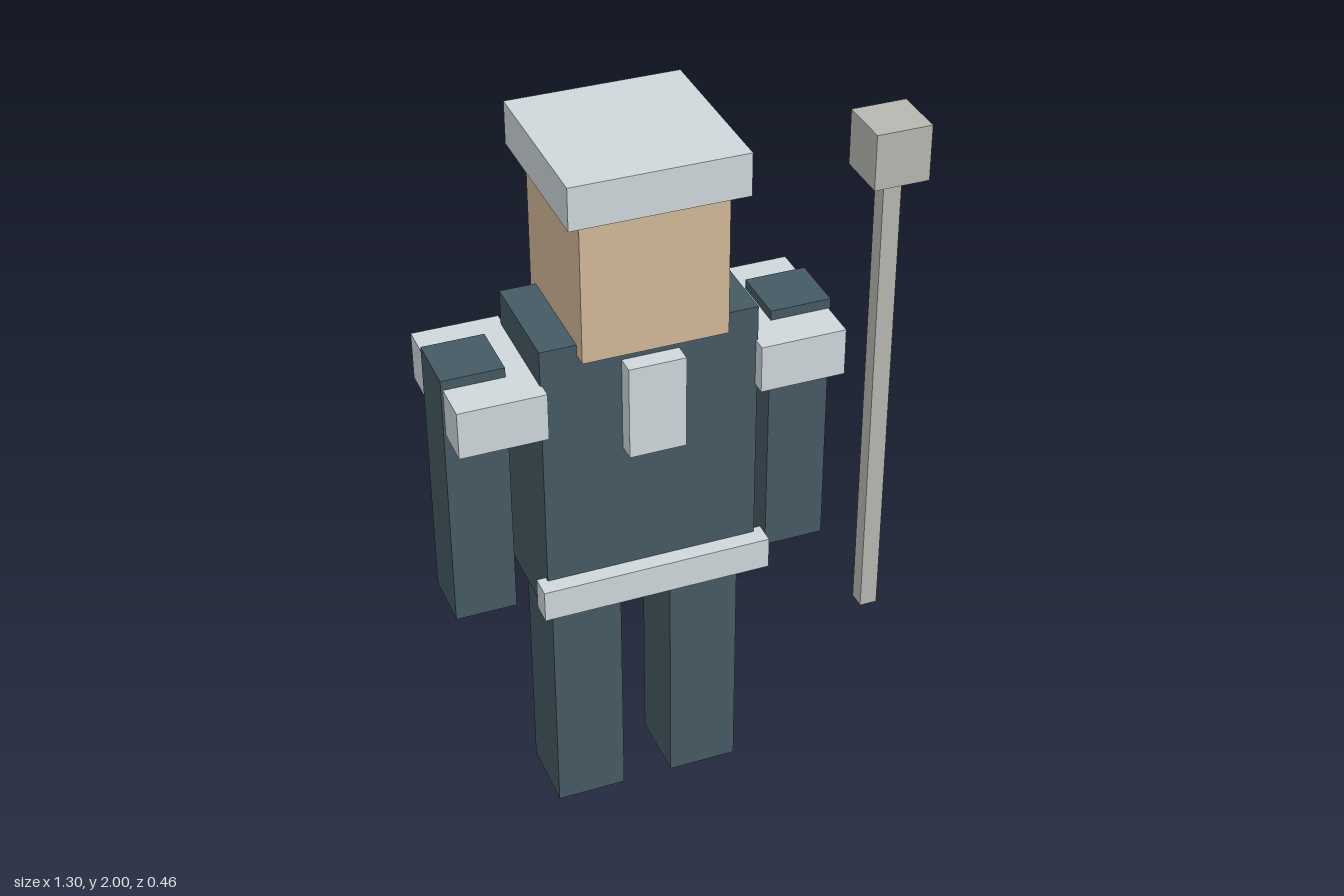
import * as THREE from 'three';

const material = (color) => new THREE.MeshStandardMaterial({ color, flatShading: true });

export function createModel() {
  const model = new THREE.Group();
  const cloth = material(0x455a64);
  const trim = material(0xcfd8dc);
  const skin = material(0xd2b899);
  const stone = material(0xb8b8b2);

  // Box of size [w, h, d] centred on x and z, with its underside at y
  function box(parent, name, mat, [w, h, d], x, y, z = 0) {
    const mesh = new THREE.Mesh(new THREE.BoxGeometry(w, h, d), mat);
    mesh.name = name;
    mesh.position.set(x, y + h / 2, z);
    parent.add(mesh);
  }

  // Body, built about its own middle and set beside the staff
  const figure = new THREE.Group();
  figure.name = 'figure';
  figure.position.x = -0.133;
  model.add(figure);

  box(figure, 'torso', cloth, [0.575, 0.825, 0.306], 0, 0.695);
  box(figure, 'head', skin, [0.383, 0.4, 0.387], 0, 1.49);
  box(figure, 'hat', trim, [0.46, 0.115, 0.462], 0, 1.885);
  box(figure, 'chestPlate', trim, [0.152, 0.262, 0.062], 0, 1.188, 0.172);
  box(figure, 'belt', trim, [0.625, 0.09, 0.062], 0, 0.73, 0.168);

  // Paired limbs and shoulder pads
  for (const [side, s] of [['left', 1], ['right', -1]]) {
    box(figure, side + 'Leg', cloth, [0.192, 0.695, 0.204], s * 0.166, 0);
    box(figure, side + 'Arm', cloth, [0.165, 0.742, 0.165], s * 0.435, 0.708);
    box(figure, side + 'ShoulderPad', trim, [0.23, 0.132, 0.385], s * 0.397, 1.291);
  }

  // Staff standing off the left hand
  const staff = new THREE.Group();
  staff.name = 'staff';
  staff.position.x = 0.572;
  model.add(staff);
  box(staff, 'staffShaft', stone, [0.05, 1.38, 0.05], 0, 0.355);
  box(staff, 'staffHead', stone, [0.152, 0.155, 0.152], 0, 1.735);

  return model;
}
